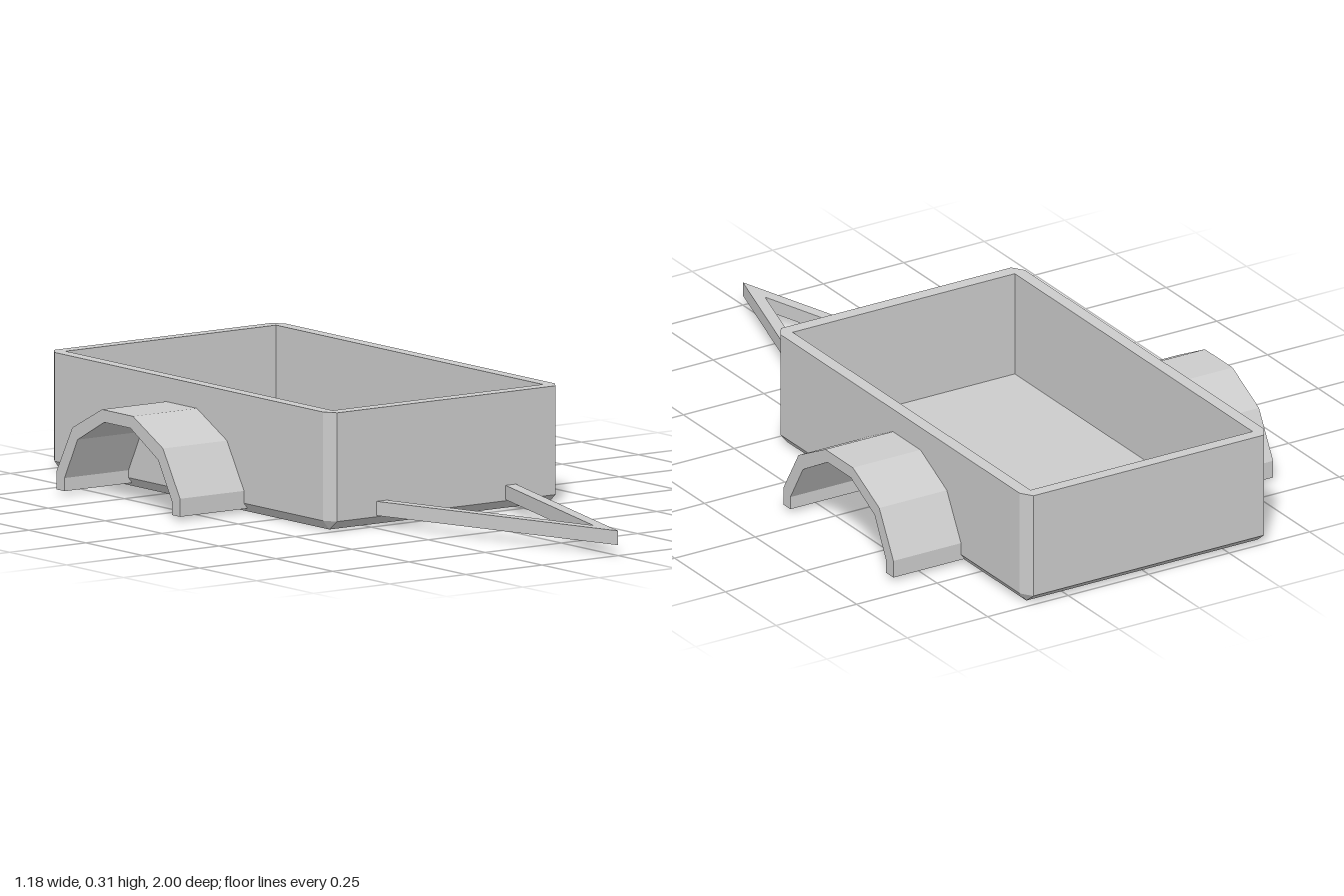
import * as THREE from 'three';

const material = new THREE.MeshStandardMaterial({ color: 0xcccccc, flatShading: true });

// Eight-point horizontal ring with corners cut by (cutX, cutZ)
function ring(y, halfX, zBack, zFront, cutX = 0, cutZ = 0) {
  const mid = (zBack + zFront) / 2, halfZ = (zFront - zBack) / 2;
  return [[1, 1], [1, -1], [-1, -1], [-1, 1]].flatMap(([sx, sz], k) => {
    const pair = [
      [sx * (halfX - cutX), y, mid + sz * halfZ],
      [sx * halfX, y, mid + sz * (halfZ - cutZ)],
    ];
    return k % 2 ? pair.reverse() : pair;
  });
}

// Skin consecutive rings, then close both ends
function skin(rings) {
  const pos = [];
  const same = (p, q) => p.every((v, i) => Math.abs(v - q[i]) < 1e-6);
  const tri = (a, b, c) => {
    if (!same(a, b) && !same(b, c) && !same(a, c)) pos.push(...a, ...b, ...c);
  };
  for (let r = 0; r < rings.length - 1; r++) {
    const lo = rings[r], hi = rings[r + 1];
    for (let i = 0; i < 8; i++) {
      const j = (i + 1) % 8;
      tri(lo[i], lo[j], hi[j]);
      tri(lo[i], hi[j], hi[i]);
    }
  }
  const first = rings[0], last = rings[rings.length - 1];
  for (let i = 1; i < 7; i++) {
    tri(first[0], first[i + 1], first[i]);
    tri(last[0], last[i], last[i + 1]);
  }
  const geo = new THREE.BufferGeometry();
  geo.setAttribute('position', new THREE.Float32BufferAttribute(pos, 3));
  geo.computeVertexNormals();
  return geo;
}

function extrude(points, depth) {
  const shape = new THREE.Shape(points.map(([x, y]) => new THREE.Vector2(x, y)));
  return new THREE.ExtrudeGeometry(shape, { depth, bevelEnabled: false });
}

export function createModel() {
  const group = new THREE.Group();
  const add = (name, geometry) => {
    const mesh = new THREE.Mesh(geometry, material);
    mesh.name = name;
    group.add(mesh);
    return mesh;
  };

  // Open cargo tub: chamfered underside, walls, rim, inner walls and floor
  add('cargoTub', skin([
    ring(0, 0.36, -0.968, 0.213),
    ring(0.025, 0.38, -1, 0.245, 0.022, 0.033),
    ring(0.315, 0.38, -1, 0.245, 0.022, 0.033),
    ring(0.315, 0.345, -0.965, 0.207),
    ring(0.025, 0.345, -0.965, 0.207),
  ]));

  // Faceted wheel arches, profile given as (-z, y)
  const arch = [
    [0.135, 0.01], [0.135, 0.058], [0.21, 0.182], [0.342, 0.25], [0.478, 0.25],
    [0.608, 0.184], [0.678, 0.058], [0.678, 0.01],
    [0.642, 0.01], [0.642, 0.045], [0.585, 0.155], [0.468, 0.217], [0.353, 0.217],
    [0.232, 0.149], [0.17, 0.045], [0.17, 0.01],
  ];
  for (const [name, x] of [['leftFender', 0.37], ['rightFender', -0.59]]) {
    add(name, extrude(arch, 0.22).rotateY(Math.PI / 2)).position.x = x;
  }

  // V-shaped drawbar, outline given as (x, z)
  const drawbar = extrude([
    [-0.23, 0.24], [-0.196, 0.24], [0, 0.89], [0.196, 0.24], [0.23, 0.24], [0, 1],
  ], 0.038).rotateX(Math.PI / 2);
  add('drawbar', drawbar).position.y = 0.066;

  return group;
}
